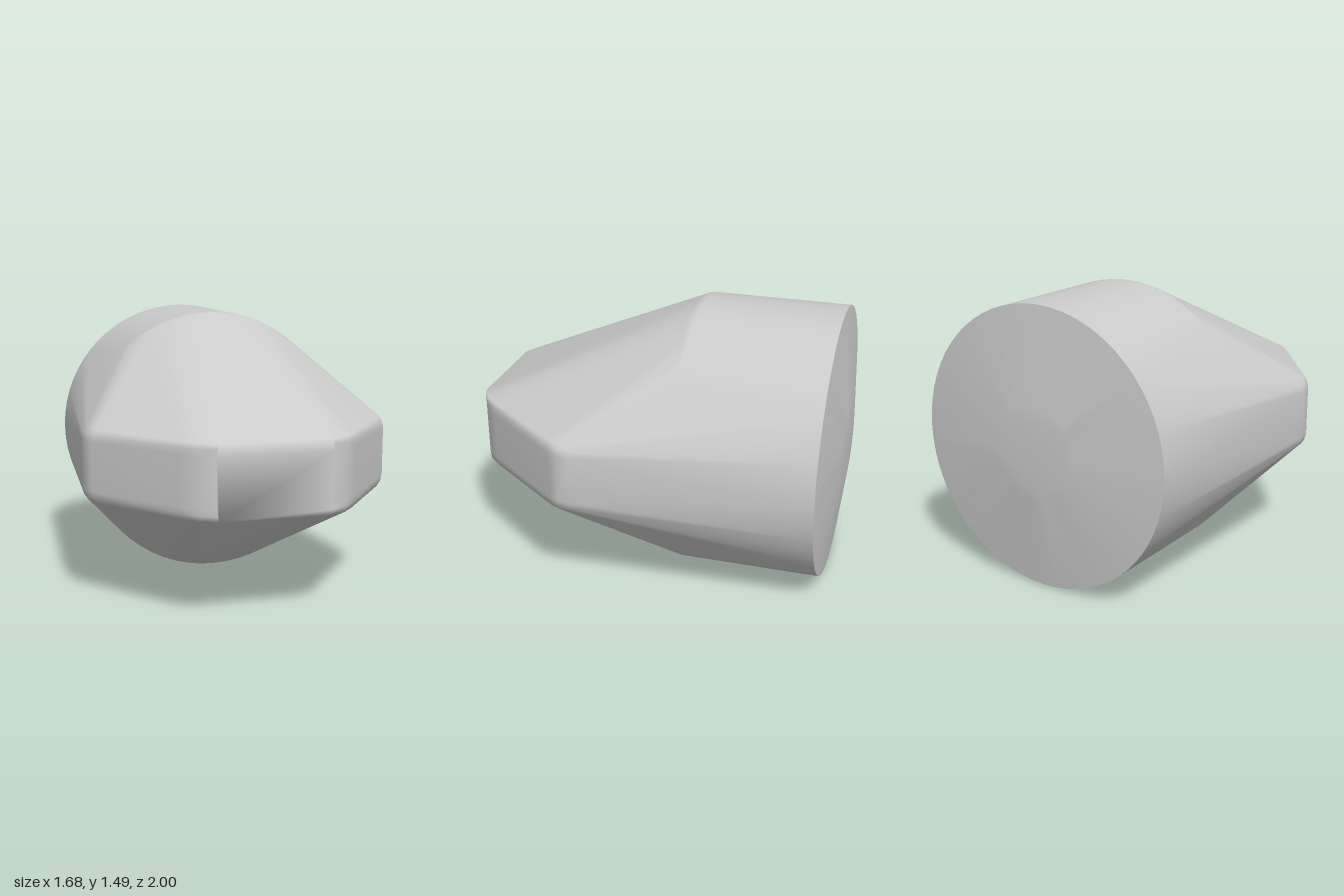
import * as THREE from 'three';
import { ConvexGeometry } from 'three/addons/geometries/ConvexGeometry.js';
import { mergeVertices } from 'three/addons/utils/BufferGeometryUtils.js';

const CY = 0.745; // height of the centre axis, also the radius of the round body

// Area-weighted smooth normals over a list of triangle corners
function smooth(positions) {
  const g = new THREE.BufferGeometry();
  g.setAttribute('position', new THREE.Float32BufferAttribute(positions, 3));
  const merged = mergeVertices(g, 1e-4);
  merged.computeVertexNormals();
  return merged;
}

export function createModel() {
  const group = new THREE.Group();
  const points = [];
  const add = (x, y, z) => points.push(new THREE.Vector3(x, CY + y, z));

  // Round back: rim, then a small disc the end slopes up to
  const ring = (r, z, n) => {
    for (let i = 0; i < n; i++) {
      const a = (i / n) * Math.PI * 2;
      add(r * Math.cos(a), r * Math.sin(a), z);
    }
  };
  ring(CY, -0.94, 64);
  ring(0.24, -1, 24);

  // Softened ridge arcs above and below, where the body starts to taper
  for (const [r, z] of [[CY, -0.19], [0.743, -0.17], [0.736, -0.15]]) {
    for (let i = 0; i <= 16; i++) {
      const a = THREE.MathUtils.degToRad(43 + (i / 16) * 94);
      for (const s of [1, -1]) add(r * Math.cos(a), s * r * Math.sin(a), z);
    }
  }

  // Angular front band: half outline in x and z, with rounded upper and lower edges
  const outline = [[0.3, 1], [0.39, 0.955], [0.46, 0.88], [0.81, 0.43], [0.833, 0.38], [0.84, 0.31]];
  const edges = [[1, 0.13], [0.988, 0.165], [0.965, 0.192]];
  for (const [x, z] of outline)
    for (const [k, h] of edges)
      for (const sx of [1, -1])
        for (const sy of [1, -1]) add(sx * x * k, sy * h, z);

  // Wrap the sections in one skin, then part the back from the body at the sharp rim
  const hull = new ConvexGeometry(points);
  const pos = hull.attributes.position;
  const nor = hull.attributes.normal;
  const body = [], back = [];
  for (let i = 0; i < pos.count; i++) {
    (nor.getZ(i) < -0.8 ? back : body).push(pos.getX(i), pos.getY(i), pos.getZ(i));
  }

  const material = new THREE.MeshStandardMaterial({ color: 0xcccccc });
  for (const [name, list] of [['taperedBody', body], ['backCap', back]]) {
    const mesh = new THREE.Mesh(smooth(list), material);
    mesh.name = name;
    group.add(mesh);
  }
  return group;
}
